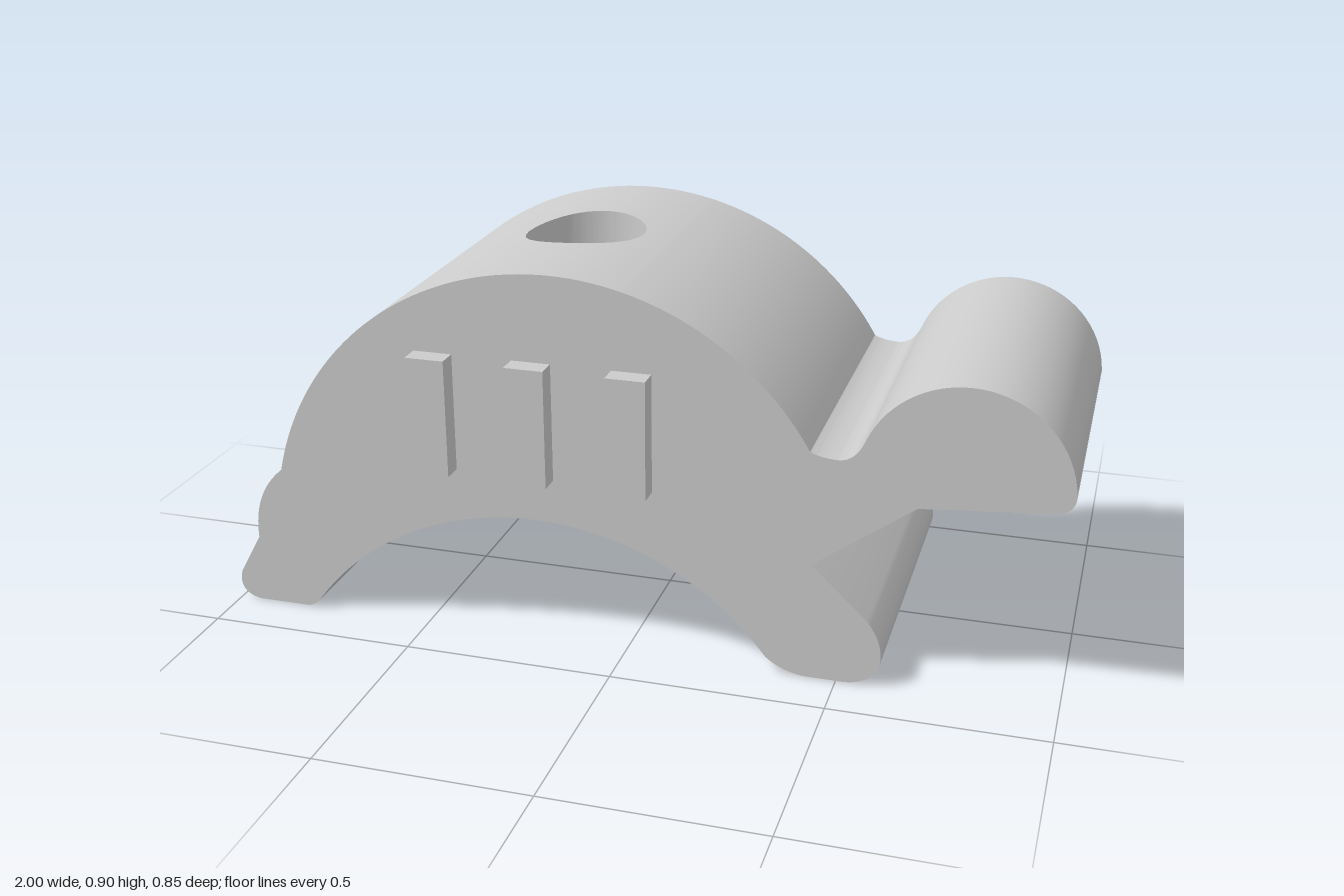
import * as THREE from 'three';
import { toCreasedNormals } from 'three/addons/utils/BufferGeometryUtils.js';

const R = 0.7; // radius of both main arcs
const OUT = { x: -0.18, y: 0.205 }, INN = { x: -0.22, y: -0.39 };
const ZF = 0.375, ZB = -0.425;
const HOLE = { x: -0.217, z: -0.025, r: 0.145 };
const XA = -0.41, XB = -0.02; // band of the arch that holds the bore

const arcY = (c, x) => c.y + Math.sqrt(R * R - (x - c.x) ** 2);
const arcAngle = (c, x) => Math.acos((x - c.x) / R);

// Profile right of the bore: inner arch, right foot, notch, head, neck, outer arch
function rightProfile() {
  const p = new THREE.Path();
  p.absarc(INN.x, INN.y, R, arcAngle(INN, XB), arcAngle(INN, 0.335), true);
  p.quadraticCurveTo(0.38, 0, 0.44, 0);
  p.lineTo(0.52, 0);
  p.quadraticCurveTo(0.585, 0.005, 0.6, 0.06);
  p.quadraticCurveTo(0.605, 0.12, 0.56, 0.168);
  p.lineTo(0.435, 0.285);
  p.lineTo(0.665, 0.452);
  p.lineTo(0.95, 0.476);
  p.quadraticCurveTo(1, 0.48, 0.998, 0.525);
  p.absarc(0.763, 0.507, 0.235, 0.08, 2.74, false);
  p.quadraticCurveTo(0.527, 0.548, 0.49, 0.545);
  p.quadraticCurveTo(0.45, 0.545, 0.425, arcY(OUT, 0.425));
  p.absarc(OUT.x, OUT.y, R, arcAngle(OUT, 0.425), arcAngle(OUT, XB), false);
  return p.getPoints(16);
}

// Profile left of the bore: outer arch, stepped tail, left foot, inner arch
function leftProfile() {
  const p = new THREE.Path();
  p.absarc(OUT.x, OUT.y, R, arcAngle(OUT, XA), arcAngle(OUT, -0.863), false);
  p.quadraticCurveTo(-0.945, 0.29, -0.939, 0.17);
  p.lineTo(-0.995, 0.07);
  p.quadraticCurveTo(-1.012, 0.01, -0.95, 0);
  p.lineTo(-0.825, 0);
  p.quadraticCurveTo(-0.8, 0, -0.78, arcY(INN, -0.78));
  p.absarc(INN.x, INN.y, R, arcAngle(INN, -0.78), arcAngle(INN, XA), true);
  return p.getPoints(16);
}

function bodyGeometry() {
  const pos = [];
  const tri = (...v) => v.forEach((p) => pos.push(...p));
  const quad = (a, b, c, d) => { tri(a, b, c); tri(a, c, d); };

  // Walls swept along z
  const right = rightProfile(), left = leftProfile();
  for (const run of [right, left]) {
    for (let i = 0; i < run.length - 1; i++) {
      const p = run[i], q = run[i + 1];
      quad([p.x, p.y, ZF], [p.x, p.y, ZB], [q.x, q.y, ZB], [q.x, q.y, ZF]);
    }
  }

  // Front and back faces
  const N = 16;
  const band = (c, from, to) => Array.from({ length: N - 1 }, (_, i) => {
    const x = from + (to - from) * (i + 1) / N;
    return new THREE.Vector2(x, arcY(c, x));
  });
  const outline = [...right, ...band(OUT, XB, XA), ...left, ...band(INN, XA, XB)];
  for (const [a, b, c] of THREE.ShapeUtils.triangulateShape(outline, [])) {
    const at = (i, z) => [outline[i].x, outline[i].y, z];
    tri(at(a, ZF), at(b, ZF), at(c, ZF));
    tri(at(c, ZB), at(b, ZB), at(a, ZB));
  }

  // Rectangle around the bore, counter-clockwise from above
  const corners = [[XA, ZF], [XB, ZF], [XB, ZB], [XA, ZB]];
  const rim = [];
  corners.forEach((a, k) => {
    const b = corners[(k + 1) % 4];
    for (let i = 0; i < N; i++) {
      rim.push([a[0] + (b[0] - a[0]) * i / N, a[1] + (b[1] - a[1]) * i / N]);
    }
  });
  // Point between the bore edge (s = 0) and the rectangle (s = 1), on an arc
  const spot = (c, i, s) => {
    const [px, pz] = rim[i % rim.length];
    const dx = px - HOLE.x, dz = pz - HOLE.z;
    const k = HOLE.r / Math.hypot(dx, dz);
    const m = k + (1 - k) * s;
    const x = HOLE.x + dx * m;
    return [x, arcY(c, x), HOLE.z + dz * m];
  };
  const STEPS = 6;
  for (let i = 0; i < rim.length; i++) {
    for (let j = 0; j < STEPS; j++) {
      const s = j / STEPS, t = (j + 1) / STEPS;
      quad(spot(OUT, i, s), spot(OUT, i, t), spot(OUT, i + 1, t), spot(OUT, i + 1, s));
      quad(spot(INN, i + 1, s), spot(INN, i + 1, t), spot(INN, i, t), spot(INN, i, s));
    }
    // Bore wall
    quad(spot(OUT, i, 0), spot(OUT, i + 1, 0), spot(INN, i + 1, 0), spot(INN, i, 0));
  }

  const g = new THREE.BufferGeometry();
  g.setAttribute('position', new THREE.Float32BufferAttribute(pos, 3));
  return toCreasedNormals(g, 0.5);
}

export function createModel() {
  const group = new THREE.Group();
  const material = new THREE.MeshStandardMaterial({ color: 0xcccccc });

  const body = new THREE.Mesh(bodyGeometry(), material);
  body.name = 'archedBody';
  group.add(body);

  // Three raised bars on the front face
  const bars = new THREE.Group();
  bars.name = 'frontBars';
  for (const x of [-0.454, -0.217, 0.019]) {
    const bar = new THREE.Mesh(new THREE.BoxGeometry(0.093, 0.283, 0.05), material);
    bar.position.set(x, 0.557, ZF + 0.025);
    bar.name = 'frontBar';
    bars.add(bar);
  }
  group.add(bars);
  return group;
}
